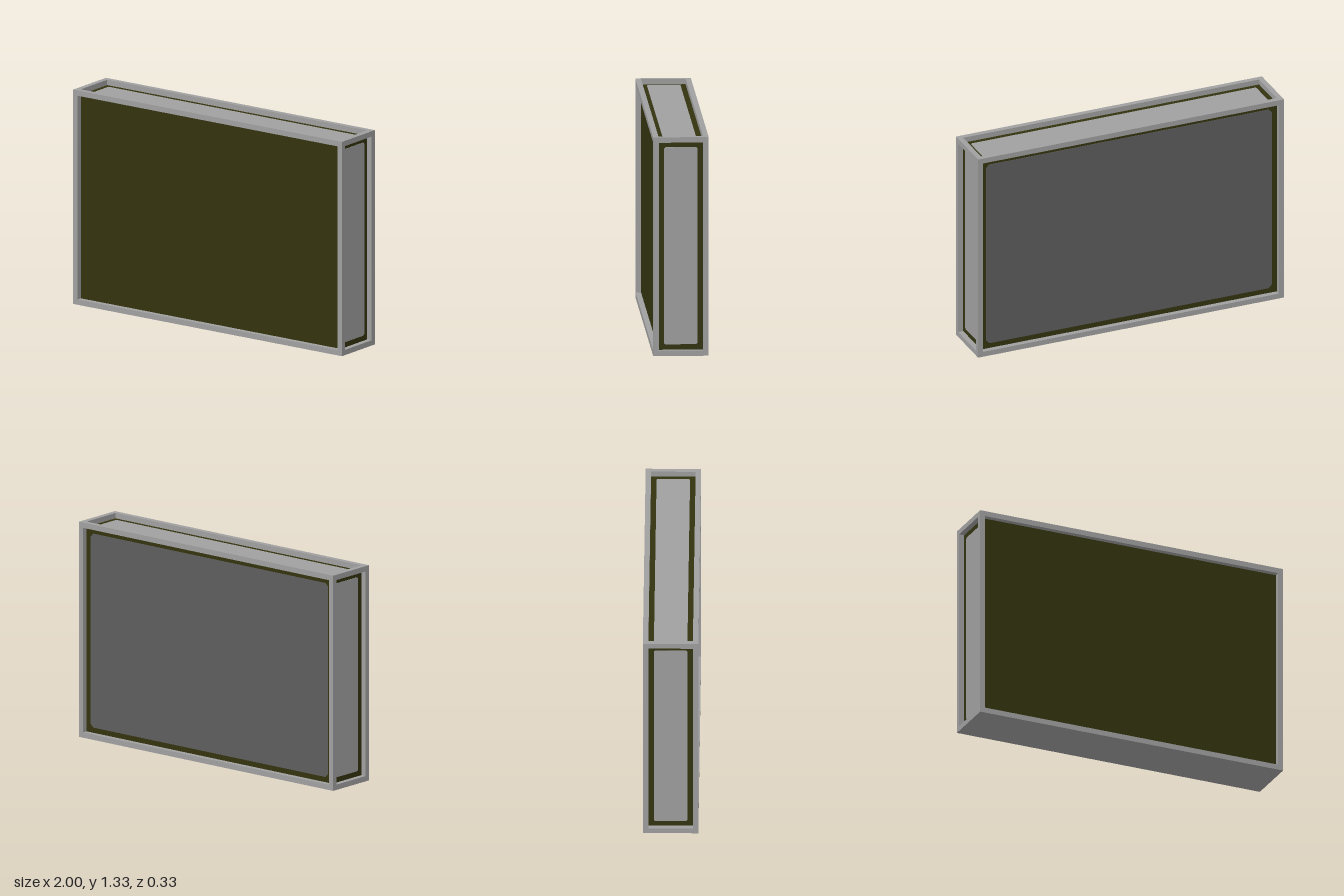
import * as THREE from 'three';

const W = 2, H = 1.333, D = 0.333, T = 0.033; // outer size and bar thickness

function material(name, color) {
  const m = new THREE.MeshStandardMaterial({ color });
  m.name = name;
  return m;
}

// Flat panel with clipped corners, facing +z, centred on the origin
function clippedPanel(w, h, cut) {
  const x = w / 2, y = h / 2;
  const shape = new THREE.Shape();
  shape.moveTo(-x + cut, -y);
  shape.lineTo(x - cut, -y);
  shape.lineTo(x, -y + cut);
  shape.lineTo(x, y - cut);
  shape.lineTo(x - cut, y);
  shape.lineTo(-x + cut, y);
  shape.lineTo(-x, y - cut);
  shape.lineTo(-x, -y + cut);
  return new THREE.ExtrudeGeometry(shape, { depth: 0.003, bevelEnabled: false });
}

export function createModel() {
  const model = new THREE.Group();
  model.name = 'framedPanelBox';
  const grey = material('frame grey', 0xa0a0a0);
  const darkGrey = material('back grey', 0x5d5d5d);
  const olive = material('dark olive', 0x33330f);

  const add = (name, geometry, mat, x, y, z, parent = model) => {
    const mesh = new THREE.Mesh(geometry, mat);
    mesh.name = name;
    mesh.position.set(x, y, z);
    parent.add(mesh);
    return mesh;
  };

  // Outer frame: closed base, four uprights and a rim around the top
  const frame = new THREE.Group();
  frame.name = 'frame';
  model.add(frame);
  add('basePlate', new THREE.BoxGeometry(W, T, D), grey, 0, T / 2, 0, frame);
  const upright = new THREE.BoxGeometry(T, H - 2 * T, T);
  const longRail = new THREE.BoxGeometry(W, T, T);
  const shortRail = new THREE.BoxGeometry(T, T, D - 2 * T);
  for (const s of [-1, 1]) {
    add('topLongRail', longRail, grey, 0, H - T / 2, s * (D - T) / 2, frame);
    add('topShortRail', shortRail, grey, s * (W - T) / 2, H - T / 2, 0, frame);
    for (const k of [-1, 1]) {
      add('upright', upright, grey, s * (W - T) / 2, H / 2, k * (D - T) / 2, frame);
    }
  }

  // Recessed body, left bare on the front as the screen
  add('body', new THREE.BoxGeometry(W - 2 * T, H - 2 * T, D - 2 * T), olive, 0, H / 2, 0);

  // Thin panels inset on the other faces, leaving an olive border
  const inX = W / 2 - T, inZ = D / 2 - T;
  const pw = W - 4 * T - 0.002, ph = H - 4 * T, pd = D - 4 * T;
  const side = clippedPanel(pd, ph, 0.008);
  add('leftPanel', side, grey, inX, H / 2, 0).rotation.y = Math.PI / 2;
  add('rightPanel', side, grey, -inX, H / 2, 0).rotation.y = -Math.PI / 2;
  add('topPanel', clippedPanel(pw, pd, 0.008), grey, 0, H - T, 0).rotation.x = -Math.PI / 2;
  add('backPanel', clippedPanel(pw, ph, 0.02), darkGrey, 0, H / 2, -inZ).rotation.y = Math.PI;

  return model;
}
